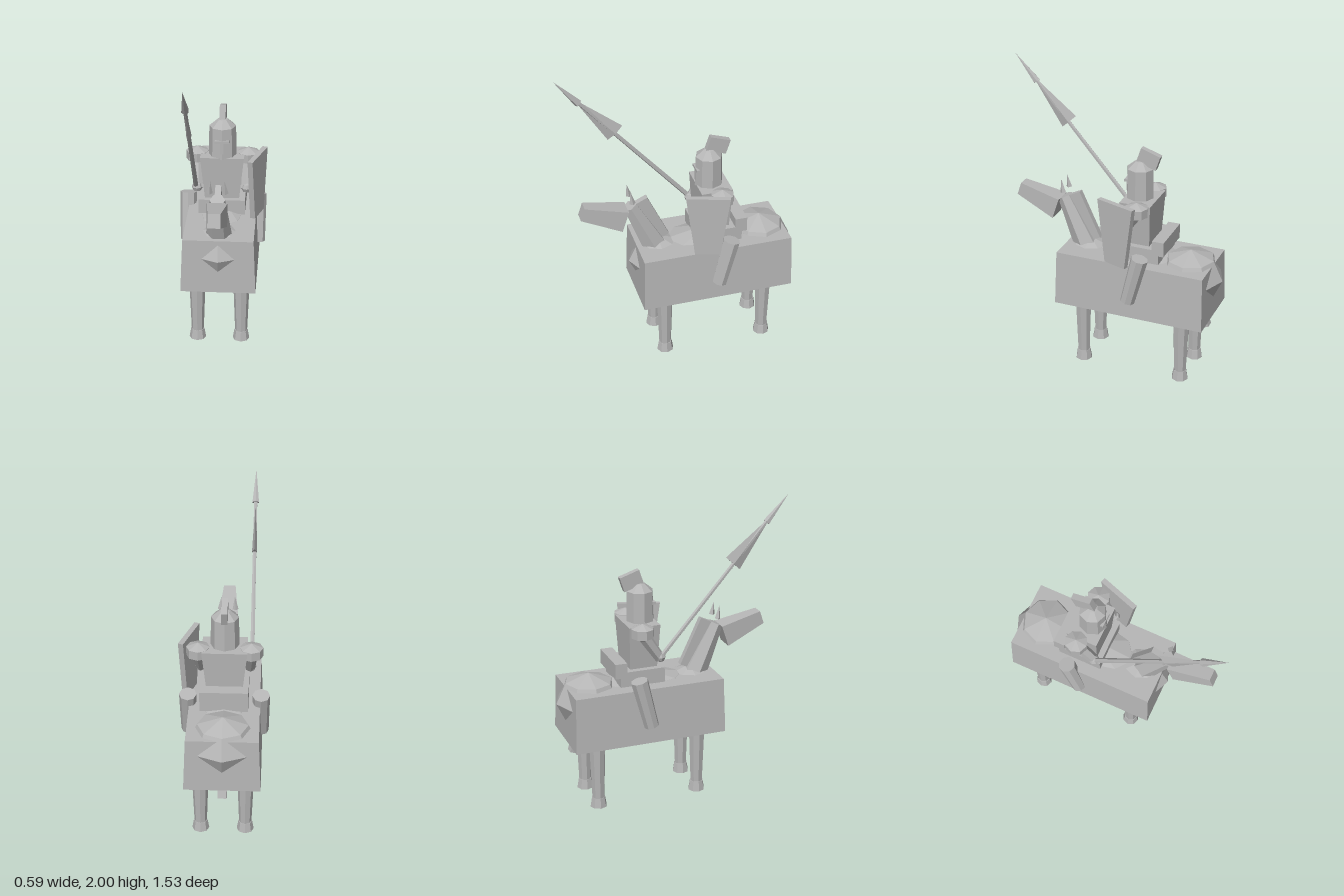
import * as THREE from 'three';

const grey = new THREE.MeshStandardMaterial({ color: 0xb6b6b6, flatShading: true });
grey.name = 'plain grey';
const UP = new THREE.Vector3(0, 1, 0);

export function createModel() {
  const model = new THREE.Group();
  model.name = 'mountedKnight';

  const add = (name, geo, x = 0, y = 0, z = 0) => {
    const m = new THREE.Mesh(geo, grey);
    m.name = name;
    m.position.set(x, y, z);
    model.add(m);
    return m;
  };
  const box = (name, w, h, d, x, y, z, rx = 0) => {
    const m = add(name, new THREE.BoxGeometry(w, h, d), x, y, z);
    m.rotation.x = rx;
    return m;
  };
  // Box whose bottom is scaled in x and z
  const taperBox = (name, w, h, d, sx, sz, x, y, z) => {
    const g = new THREE.BoxGeometry(w, h, d);
    const p = g.attributes.position;
    for (let i = 0; i < p.count; i++) {
      if (p.getY(i) < 0) p.setXYZ(i, p.getX(i) * sx, p.getY(i), p.getZ(i) * sz);
    }
    return add(name, g, x, y, z);
  };
  const ball = (name, r, rows, x, y, z) =>
    add(name, new THREE.SphereGeometry(1, 8, rows).scale(...r), x, y, z);
  // Tapered prism running from point a to point b
  const limb = (name, a, b, ra, rb, sides = 8, turn = 0) => {
    const A = new THREE.Vector3(...a), B = new THREE.Vector3(...b);
    const dir = B.clone().sub(A);
    const g = new THREE.CylinderGeometry(rb, ra, dir.length(), sides).rotateY(turn);
    const mid = A.add(B).multiplyScalar(0.5);
    const m = add(name, g, mid.x, mid.y, mid.z);
    m.quaternion.setFromUnitVectors(UP, dir.normalize());
    return m;
  };

  // Horse body: long cloth cover with chest, barrel and rump showing through
  taperBox('horseCloth', 0.46, 0.37, 1.01, 1.07, 1.02, 0, 0.625, -0.195);
  ball('horseChest', [0.19, 0.17, 0.2], 4, 0, 0.68, 0.16);
  ball('horseBarrel', [0.22, 0.2, 0.41], 4, 0, 0.67, -0.19);
  ball('horseRump', [0.23, 0.19, 0.22], 4, 0, 0.7, -0.545);

  // Neck, mane and raised head
  limb('horseNeck', [0, 0.74, 0.165], [0, 1.12, 0.345], 0.092, 0.05, 6, Math.PI / 2);
  box('mane', 0.04, 0.34, 0.13, 0, 0.99, 0.218, 0.44);
  const head = taperBox('horseHead', 0.08, 0.29, 0.09, 1.65, 1.65, 0, 1.085, 0.525);
  head.rotation.x = 1.25;
  for (const s of [-1, 1]) {
    limb('horseEar', [s * 0.05, 1.165, 0.336], [s * 0.045, 1.255, 0.35], 0.02, 0, 4);
  }

  // Horse legs, hooves and tail
  for (const s of [-1, 1]) {
    for (const z of [0.155, -0.54]) {
      limb('horseLeg', [s * 0.147, 0.06, z], [s * 0.147, 0.5, z], 0.041, 0.057);
      limb('hoof', [s * 0.147, 0, z], [s * 0.147, 0.066, z], 0.056, 0.045);
    }
  }
  box('horseTail', 0.06, 0.32, 0.06, 0, 0.5, -0.61, 0.32);

  // Saddle
  box('saddle', 0.31, 0.1, 0.3, 0, 0.868, -0.225);
  box('saddleBack', 0.31, 0.1, 0.08, 0, 0.93, -0.37);

  // Rider's torso, shoulders, arms and legs
  taperBox('torso', 0.29, 0.36, 0.21, 0.74, 0.85, 0, 1.03, -0.205);
  for (const s of [-1, 1]) {
    ball('shoulderPlate', [0.087, 0.06, 0.087], 3, s * 0.17, 1.182, -0.23);
    limb('arm', [s * 0.17, 1.17, -0.23], [s * 0.16, 0.99, -0.11], 0.042, 0.034, 6);
    ball('hand', [0.036, 0.036, 0.036], 4, s * 0.165, 1.0, -0.11);
    limb('riderLeg', [s * 0.24, 0.56, -0.198], [s * 0.237, 0.882, -0.278], 0.049, 0.057);
  }

  // Helmet with visor and crest
  const helmetProfile = [[0, 1.2], [0.093, 1.2], [0.088, 1.41], [0.035, 1.455], [0, 1.465]]
    .map(([r, y]) => new THREE.Vector2(r, y));
  add('helmet', new THREE.LatheGeometry(helmetProfile, 8), 0, 0, -0.188);
  box('visorBar', 0.095, 0.018, 0.03, 0, 1.325, -0.11);
  box('noseGuard', 0.022, 0.08, 0.02, 0, 1.28, -0.106);
  box('helmetCrest', 0.04, 0.1, 0.138, 0, 1.482, -0.247, -0.32);

  // Shield on the left arm, turned slightly forward
  const shield = taperBox('shield', 0.035, 0.43, 0.285, 1, 0.58, 0.235, 1.025, -0.115);
  shield.rotation.y = -0.32;

  // Lance on the right: shaft, flat pennon and point
  const lx = -0.172;
  limb('lanceShaft', [lx, 1.01, -0.1], [lx, 1.86, 0.64], 0.016, 0.012, 6);
  limb('lancePennon', [lx, 1.575, 0.385], [lx, 1.84, 0.625], 0.066, 0.006, 4)
    .scale.x = 0.26;
  limb('lancePoint', [lx, 1.825, 0.613], [lx, 2.0, 0.765], 0.025, 0, 6);

  return model;
}
